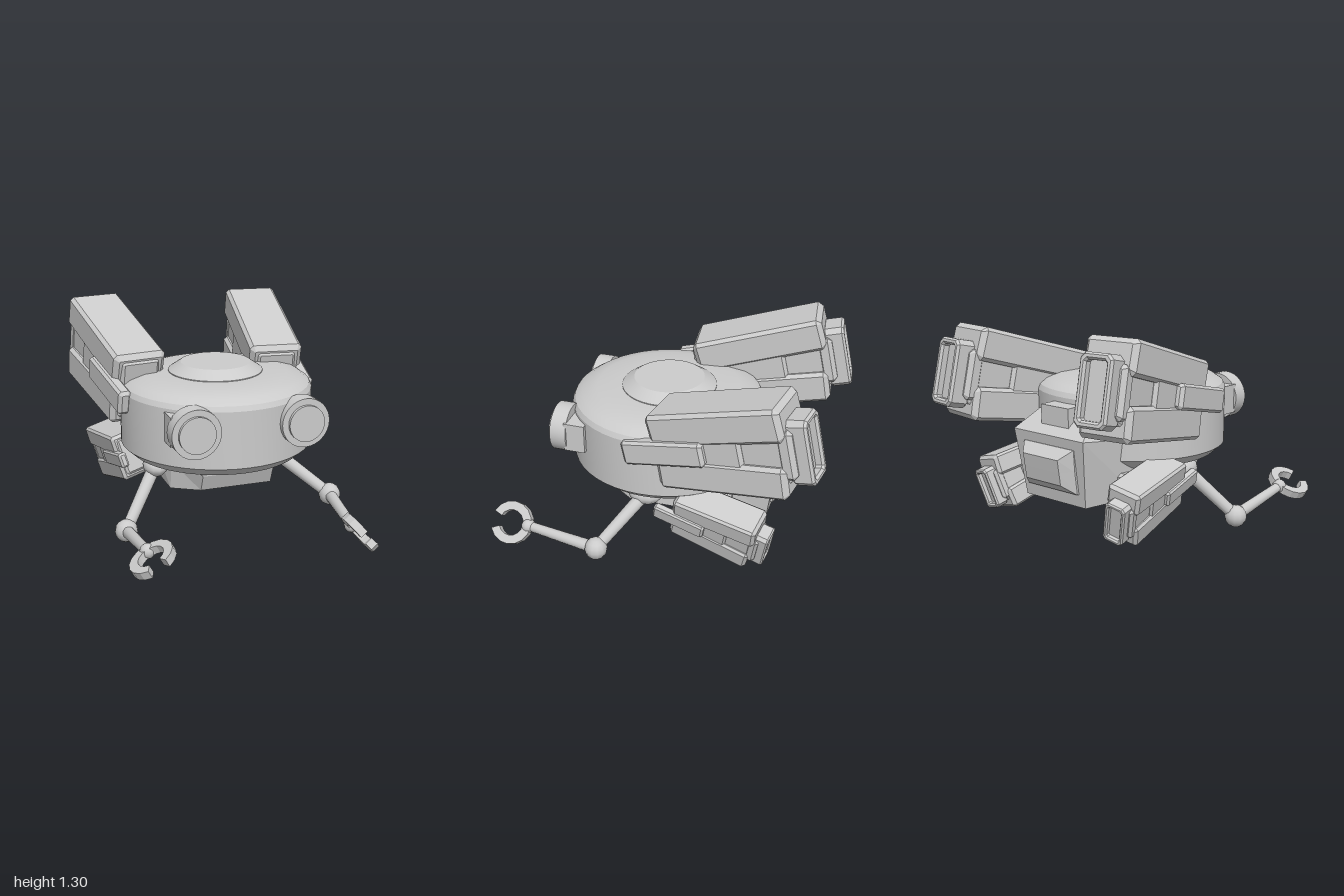
import * as THREE from 'three';
import { toCreasedNormals } from 'three/addons/utils/BufferGeometryUtils.js';

const smooth = new THREE.MeshStandardMaterial({ color: 0xcccccc });
const flat = new THREE.MeshStandardMaterial({ color: 0xcccccc, flatShading: true });

function add(parent, name, geometry, x = 0, y = 0, z = 0, material = flat) {
  const mesh = new THREE.Mesh(geometry, material);
  mesh.name = name;
  mesh.position.set(x, y, z);
  parent.add(mesh);
  return mesh;
}

function rectPoints(w, h, c) {
  const a = w / 2, b = h / 2;
  return [[a - c, b], [-a + c, b], [-a, b - c], [-a, -b + c], [-a + c, -b], [a - c, -b], [a, -b + c], [a, b - c]]
    .map(([x, y]) => new THREE.Vector2(x, y));
}

// Box with chamfered edges, centred on the origin
function chamferBox(w, h, d, c) {
  const shape = new THREE.Shape(rectPoints(w - 2 * c, h - 2 * c, 0.004));
  return new THREE.ExtrudeGeometry(shape, {
    depth: d - 2 * c, bevelEnabled: true, bevelSize: c, bevelThickness: c, bevelSegments: 1,
  }).translate(0, 0, -d / 2 + c);
}

// Rectangular frame, open through the middle
function frame(w, h, d, rim) {
  const shape = new THREE.Shape(rectPoints(w, h, 0.03));
  shape.holes.push(new THREE.Path(rectPoints(w - 2 * rim, h - 2 * rim, 0.012).reverse()));
  return new THREE.ExtrudeGeometry(shape, {
    depth: d, bevelEnabled: true, bevelSize: 0.012, bevelThickness: 0.015, bevelSegments: 1, bevelOffset: -0.012,
  }).translate(0, 0, -d / 2);
}

// Mirrored loft, front to back; each ring lists [z, halfWidth, y] for top, middle, bottom
function loft(rings) {
  const points = rings.map((r) => [
    ...r.map(([z, w, y]) => [w, y, z]),
    ...r.map(([z, w, y]) => [-w, y, z]).reverse(),
  ]);
  const out = [];
  const quad = (a, b, c, d) => out.push(...a, ...b, ...c, ...a, ...c, ...d);
  for (let k = 0; k + 1 < points.length; k++) {
    const a = points[k], b = points[k + 1];
    for (let i = 0; i < 6; i++) {
      const j = (i + 1) % 6;
      quad(a[i], a[j], b[j], b[i]);
    }
  }
  const f = points[0], e = points[points.length - 1];
  quad(f[0], f[5], f[4], f[1]);
  quad(f[1], f[4], f[3], f[2]);
  quad(e[0], e[1], e[4], e[5]);
  quad(e[1], e[2], e[3], e[4]);
  const g = new THREE.BufferGeometry();
  g.setAttribute('position', new THREE.Float32BufferAttribute(out, 3));
  g.computeVertexNormals();
  return g;
}

function lathe(profile) {
  const g = new THREE.LatheGeometry(profile.map(([r, y]) => new THREE.Vector2(r, y)), 48);
  return toCreasedNormals(g, 0.35);
}

// Round rod between two points
function rod(parent, name, a, b, r0, r1) {
  const dir = b.clone().sub(a);
  const mid = a.clone().add(b).multiplyScalar(0.5);
  const geo = toCreasedNormals(new THREE.CylinderGeometry(r1, r0, dir.length(), 12), 0.7);
  const mesh = add(parent, name, geo, mid.x, mid.y, mid.z, smooth);
  mesh.quaternion.setFromUnitVectors(new THREE.Vector3(0, 1, 0), dir.normalize());
}

// Engine pod: upper and lower shells round a narrower core, outer panel, rear nozzle
function pod(name, side) {
  const g = new THREE.Group();
  g.name = name;
  g.rotation.order = 'YXZ';
  add(g, 'upperShell', chamferBox(0.335, 0.2, 0.83, 0.03), 0, 0.143, -0.02).rotation.x = 0.07;
  add(g, 'lowerShell', chamferBox(0.335, 0.2, 0.8, 0.03), 0, -0.167, -0.014).rotation.x = -0.05;
  add(g, 'core', chamferBox(0.27, 0.4, 0.84, 0.03), 0, -0.01, -0.01);
  add(g, 'sidePlate', chamferBox(0.315, 0.26, 0.54, 0.02), 0, -0.01, 0.1);
  add(g, 'outerPanel', chamferBox(0.08, 0.15, 0.52, 0.02), side * 0.16, -0.008, 0.309);
  add(g, 'nozzleBase', chamferBox(0.28, 0.3, 0.1, 0.025), 0, -0.02, -0.42);
  add(g, 'nozzleFrame', frame(0.21, 0.4, 0.1, 0.04), 0, -0.026, -0.486);
  add(g, 'nozzleCore', new THREE.BoxGeometry(0.15, 0.34, 0.05), 0, -0.026, -0.475);
  return g;
}

// Open ring gripper, mouth towards +z
function clawGeometry() {
  const gap = 0.42, n = 14, outer = [], inner = [];
  for (let i = 0; i <= n; i++) {
    const t = Math.PI / 2 + gap + (i / n) * (2 * Math.PI - 2 * gap);
    outer.push(new THREE.Vector2(0.135 * Math.cos(t), 0.135 * Math.sin(t)));
    inner.push(new THREE.Vector2(0.08 * Math.cos(t), 0.08 * Math.sin(t)));
  }
  const shape = new THREE.Shape([...outer, ...inner.reverse()]);
  return new THREE.ExtrudeGeometry(shape, { depth: 0.05, bevelEnabled: false })
    .translate(0, 0, -0.025).rotateX(Math.PI / 2);
}

function arm(name, shoulder, elbow, wrist, tilt) {
  const g = new THREE.Group();
  g.name = name;
  const [s, e, w] = [shoulder, elbow, wrist].map((p) => new THREE.Vector3(...p));
  const ball = (label, p, r) =>
    add(g, label, new THREE.SphereGeometry(r, 12, 8), p.x, p.y, p.z, smooth);
  ball('shoulderJoint', s, 0.075).scale.set(1, 0.85, 1.4);
  ball('elbowJoint', e, 0.07);
  ball('wristJoint', w, 0.045);
  rod(g, 'upperArm', s, e, 0.042, 0.036);
  rod(g, 'forearm', e, w, 0.038, 0.03);
  add(g, 'claw', clawGeometry(), w.x, w.y, 0.875).rotation.z = tilt;
  return g;
}

export function createModel() {
  const model = new THREE.Group();
  model.name = 'utilityPod';

  // Round cabin and roof hatch
  add(model, 'cabin', lathe([[0, 0.45], [0.42, 0.45], [0.53, 0.48], [0.59, 0.535], [0.59, 0.88],
    [0.575, 0.91], [0.53, 0.94], [0.44, 0.965], [0.29, 0.97], [0, 0.97]]), 0.015, 0, 0.035, smooth);
  add(model, 'roofHatch', lathe([[0.29, 0.94], [0.29, 0.975], [0.215, 1.025], [0, 1.025]]),
    0.015, 0, 0.03, smooth);

  // Angular lower hull with rear hatch and dorsal box
  add(model, 'hull', loft([
    [[0.49, 0.24, 0.5], [0.49, 0.22, 0.46], [0.45, 0.22, 0.36]],
    [[0.19, 0.3, 0.52], [0.19, 0.32, 0.46], [0.19, 0.33, 0.29]],
    [[-0.3, 0.3, 0.8], [-0.3, 0.36, 0.65], [-0.3, 0.33, 0.29]],
    [[-0.57, 0.21, 0.8], [-0.72, 0.28, 0.69], [-0.66, 0.24, 0.28]],
  ]));
  add(model, 'rearHatch', loft([
    [[-0.6, 0.2, 0.63], [-0.6, 0.2, 0.5], [-0.6, 0.2, 0.36]],
    [[-0.715, 0.2, 0.63], [-0.705, 0.2, 0.5], [-0.685, 0.2, 0.36]],
    [[-0.785, 0.14, 0.575], [-0.773, 0.14, 0.5], [-0.76, 0.14, 0.42]],
  ]));
  add(model, 'dorsalBox', new THREE.BoxGeometry(0.22, 0.16, 0.14), 0, 0.77, -0.59);

  // Headlamps
  for (const side of [-1, 1]) {
    const lamp = new THREE.Group();
    lamp.name = side > 0 ? 'leftLamp' : 'rightLamp';
    lamp.position.set(0.033 + side * 0.333, 0.77, 0);
    const disc = (r, d) => toCreasedNormals(new THREE.CylinderGeometry(r, r, d, 32).rotateX(Math.PI / 2), 0.5);
    add(lamp, 'lampMount', new THREE.BoxGeometry(0.23, 0.18, 0.13), side * 0.015, 0, 0.475);
    add(lamp, 'lampHousing', disc(0.148, 0.1), 0, 0, 0.575, smooth);
    add(lamp, 'lampLens', disc(0.11, 0.06), 0, 0, 0.615, smooth);
    model.add(lamp);
  }

  // Large upper pods and small lower pods
  for (const side of [-1, 1]) {
    const label = side > 0 ? 'left' : 'right';
    const upper = pod(label + 'UpperPod', side);
    upper.position.set(side * 0.505, side > 0 ? 0.94 : 0.97, side > 0 ? -0.45 : -0.425);
    upper.rotation.set(0.218, -side * 0.137, 0);
    model.add(upper);

    const lower = pod(label + 'LowerPod', side);
    lower.scale.setScalar(0.63);
    lower.position.set(side * 0.495, 0.36, -0.41);
    lower.rotation.set(-0.23, -side * 0.1, -side * 0.25);
    model.add(lower);
    add(model, label + 'PodBracket', chamferBox(0.2, 0.12, 0.22, 0.02), side * 0.37, 0.4, -0.35);
  }

  // Arms with grippers
  model.add(arm('leftArm', [0.4, 0.4, 0.065], [0.7, 0.15, 0.28], [0.615, 0.15, 0.765], -0.9));
  model.add(arm('rightArm', [-0.39, 0.4, 0.065], [-0.635, 0.09, 0.28], [-0.64, 0.175, 0.765], 0.5));

  return model;
}
